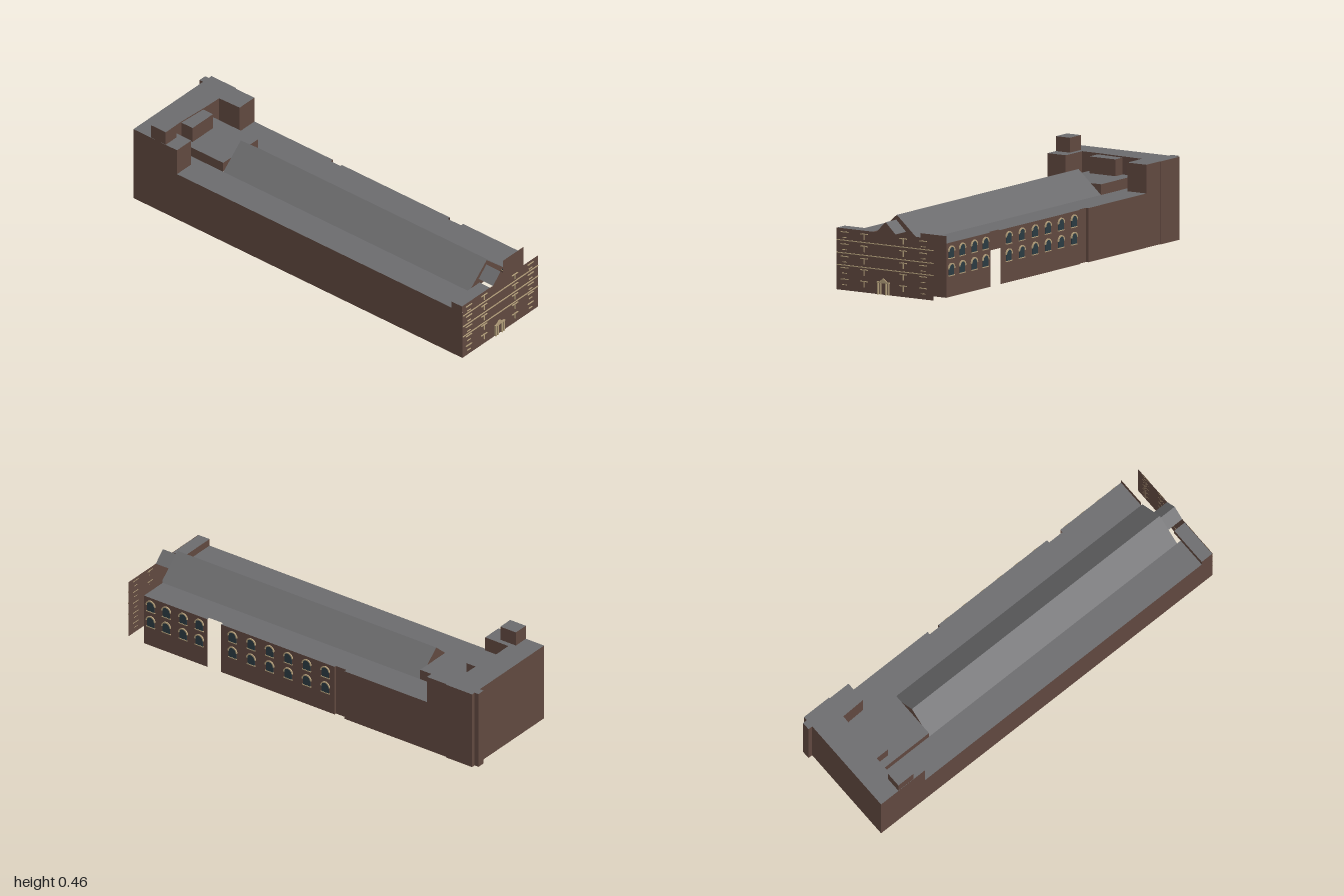
import * as THREE from 'three';

const mat = (name, color, side = THREE.FrontSide) => {
  const m = new THREE.MeshStandardMaterial({ color, side });
  m.name = name;
  return m;
};

export function createModel() {
  const brick = mat('brown brick', 0x60483f, THREE.DoubleSide);
  const slate = mat('grey roof', 0x6b6b6d, THREE.DoubleSide);
  const stone = mat('tan stone', 0xb09c78);
  const glass = mat('dark teal glass', 0x2a3a42);

  // Plan coordinates: u runs along the building, v runs from front wall to back wall.
  const building = new THREE.Group();
  building.name = 'building';

  const add = (name, geometry, material) => {
    const mesh = new THREE.Mesh(geometry, material);
    mesh.name = name;
    building.add(mesh);
    return mesh;
  };
  // Open surface through corners given as [u, y, v]
  const face = (name, pts, material) => {
    const flat = pts.flatMap(([u, y, v]) => [u, y, -v]);
    const index = [];
    for (let i = 1; i < pts.length - 1; i++) index.push(0, i, i + 1);
    let g = new THREE.BufferGeometry();
    g.setAttribute('position', new THREE.Float32BufferAttribute(flat, 3));
    g.setIndex(index);
    g = g.toNonIndexed();
    g.computeVertexNormals();
    return add(name, g, material);
  };
  // Vertical walls along a plan path of [u, v]
  const walls = (name, path, y0, y1) => {
    for (let i = 0; i < path.length - 1; i++) {
      const [a, b] = path[i], [c, d] = path[i + 1];
      face(name, [[a, y0, b], [c, y0, d], [c, y1, d], [a, y1, b]], brick);
    }
  };
  // Flat roof from a plan outline
  const flatRoof = (name, outline, y) => {
    const g = new THREE.ShapeGeometry(new THREE.Shape(outline.map(p => new THREE.Vector2(...p))));
    g.rotateX(-Math.PI / 2);
    add(name, g, slate).position.y = y;
  };
  const rect = (u0, u1, v0, v1) => [[u0, v0], [u1, v0], [u1, v1], [u0, v1]];
  const block = (name, outline, y0, y1) => {
    walls(name + 'Wall', [...outline, outline[0]], y0, y1);
    flatRoof(name + 'Roof', outline, y1);
  };
  const box = (name, u, y, v, du, dy, dv, material) =>
    add(name, new THREE.BoxGeometry(du, dy, dv), material).position.set(u, y, -v);

  const LOW = 0.255, HIGH = 0.39, PARAPET = 0.29, END = 1.995;

  // Main outer walls, with an opening in the back wall
  walls('frontWall', [[0, 0], [END, 0]], 0, LOW);
  walls('backWall', [[0.264, 0.555], [0.74, 0.555], [0.74, 0.54], [0.8, 0.54], [0.8, 0.55], [1.455, 0.55]], 0, LOW);
  walls('backWall', [[1.535, 0.55], [1.9, 0.55]], 0, LOW);
  walls('backWingEndWall', [[1.9, 0.405], [1.9, 0.55]], 0, PARAPET);

  // Low flat roofs on both sides of the long gable
  flatRoof('frontLowRoof', rect(0.264, 1.93, 0, 0.153), LOW);
  flatRoof('backLowRoof', [[0.264, 0.404], [1.9, 0.404], [1.9, 0.55], [1.535, 0.55], [1.535, 0.535],
    [1.455, 0.535], [1.455, 0.55], [0.8, 0.55], [0.8, 0.54], [0.74, 0.54], [0.74, 0.555], [0.264, 0.555]], LOW);
  flatRoof('courtyardFloor', rect(0.12, 0.415, 0.1, 0.45), LOW);

  // Gables: two slopes and two triangular ends
  const gable = (name, u0, u1, v0, vr, v1, y0, y1) => {
    for (const v of [v0, v1])
      face(name + 'Slope', [[u0, y0, v], [u1, y0, v], [u1, y1, vr], [u0, y1, vr]], slate);
    for (const u of [u0, u1])
      face(name + 'End', [[u, y0, v0], [u, y0, v1], [u, y1, vr]], brick);
  };
  gable('mainGable', 0.416, 1.908, 0.153, 0.278, 0.404, LOW, 0.365);
  gable('entranceGable', 1.89, 1.995, 0.22, 0.275, 0.33, PARAPET, 0.342);

  // Tall west wing around a sunken court
  const court = [[0.264, 0.555], [0.264, 0.45], [0.143, 0.446], [0.139, 0.336], [0.13, 0.187],
    [0.13, 0.103], [0.264, 0.102], [0.264, 0]];
  walls('westWingOuterWall', [[0.264, 0], [0, 0], [0, 0.56], [0.15, 0.56], [0.15, 0.555], [0.264, 0.555]], 0, HIGH);
  walls('westWingCourtWall', court, LOW, HIGH);
  flatRoof('westWingRoof', [[0, 0], [0, 0.56], [0.15, 0.56], [0.15, 0.555], ...court], HIGH);
  block('cornerPier', rect(-0.022, 0, 0.5, 0.54), 0, HIGH);
  block('roofHut', rect(0.105, 0.195, 0.001, 0.078), HIGH, 0.46);
  block('courtTerrace', rect(0.14, 0.415, 0.153, 0.404), LOW, 0.305);
  block('courtHut', rect(0.13, 0.198, 0.19, 0.336), 0.305, 0.384);

  // East facade and the raised block behind its front corner
  walls('eastFacade', [[END, 0], [END, 0.543]], 0, PARAPET);
  block('eastCornerBlock', rect(1.93, END - 0.002, 0, 0.2), LOW, PARAPET);

  // Facade bands, window sills and mullions
  for (const y of [0.235, 0.175, 0.118])
    box('facadeBand', END + 0.002, y, 0.272, 0.004, 0.004, 0.54, stone);
  for (const y of [0.262, 0.205, 0.147, 0.094, 0.04])
    [0.045, 0.155, 0.375, 0.487].forEach((v, i) => {
      box('facadeLintel', END + 0.002, y + 0.012, v, 0.005, 0.004, 0.042, stone);
      if (i === 1 || i === 2) box('facadeMullion', END + 0.002, y, v, 0.004, 0.03, 0.005, stone);
      else box('facadeSill', END + 0.002, y - 0.014, v, 0.005, 0.003, 0.025, stone);
    });

  // Entrance with columns and a small pediment
  for (const v of [0.235, 0.249, 0.279, 0.293])
    box('entranceColumn', END + 0.004, 0.028, v, 0.008, 0.056, 0.006, stone);
  box('entranceBeam', END + 0.004, 0.058, 0.264, 0.009, 0.006, 0.068, stone);
  const pediment = new THREE.Shape([[-0.022, 0], [0.022, 0], [0, 0.016]].map(p => new THREE.Vector2(...p)));
  const pedimentGeo = new THREE.ExtrudeGeometry(pediment, { depth: 0.008, bevelEnabled: false });
  pedimentGeo.rotateY(Math.PI / 2);
  add('entrancePediment', pedimentGeo, stone).position.set(END, 0.061, -0.264);

  // Arched windows along the back wall
  const arch = (w, h) => {
    const s = new THREE.Shape();
    s.moveTo(-w, 0);
    s.lineTo(w, 0);
    s.lineTo(w, h);
    s.absarc(0, h, w, 0, Math.PI, false);
    s.closePath();
    return s;
  };
  const hood = new THREE.Shape();
  hood.absarc(0, 0.03, 0.027, 0, Math.PI, false);
  hood.absarc(0, 0.03, 0.021, Math.PI, 0, true);
  const extrude = (s, depth) =>
    new THREE.ExtrudeGeometry(s, { depth, bevelEnabled: false, curveSegments: 10 }).rotateY(Math.PI);
  const paneGeo = extrude(arch(0.021, 0.03), 0.003);
  const hoodGeo = extrude(hood, 0.006);
  for (const u of [1.86, 1.77, 1.673, 1.58, 1.388, 1.281, 1.174, 1.067, 0.96, 0.853])
    for (const y of [0.102, 0.184]) {
      add('archedWindow', paneGeo, glass).position.set(u, y, -0.55);
      add('windowHood', hoodGeo, stone).position.set(u, y, -0.55);
      box('windowSill', u, y - 0.002, 0.552, 0.05, 0.004, 0.006, stone);
    }

  // The building stands turned on its site
  building.rotation.y = -0.529;
  building.position.set(-1, 0, -0.27);
  const model = new THREE.Group();
  model.name = 'model';
  model.add(building);
  return model;
}
